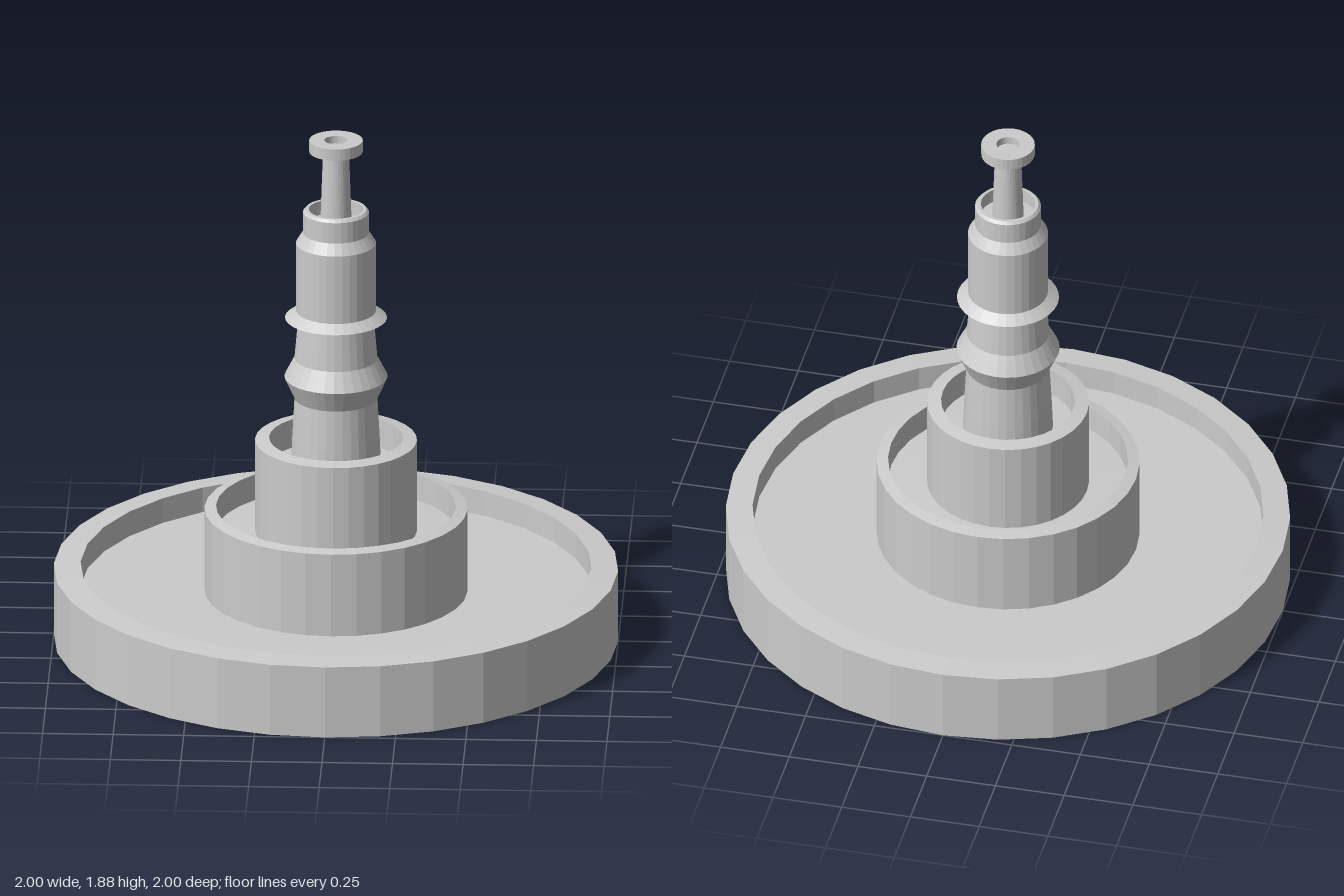
import * as THREE from 'three';

const SIDES = 32;
const material = new THREE.MeshStandardMaterial({ color: 0xcccccc, flatShading: true });

// Revolved part from [radius, height] pairs, listed from the bottom up the outside
function turned(name, profile) {
  const points = profile.map(([r, y]) => new THREE.Vector2(r, y));
  const mesh = new THREE.Mesh(new THREE.LatheGeometry(points, SIDES), material);
  mesh.name = name;
  return mesh;
}

// Round basin with a gently sloped rim and a recessed floor
function basin(name, bottom, top, outer, inner, floor, floorInner) {
  return turned(name, [
    [0, bottom], [outer, bottom], [outer, top - 0.008], [inner, top],
    [inner, floor], [0, floorInner],
  ]);
}

export function createModel() {
  const group = new THREE.Group();
  group.name = 'tieredFountain';

  // Three stacked basins
  group.add(basin('lowerBasin', 0, 0.273, 1, 0.905, 0.18, 0.18));
  group.add(basin('middleBasin', 0.17, 0.497, 0.466, 0.425, 0.4, 0.42));
  group.add(basin('upperBasin', 0.39, 0.757, 0.287, 0.237, 0.65, 0.65));

  // Column with a bulge, a flared collar and a small cup at its top
  group.add(turned('column', [
    [0.16, 0.64], [0.155, 0.76], [0.147, 0.91],
    [0.183, 0.99], [0.147, 1.06],
    [0.135, 1.2], [0.181, 1.212], [0.142, 1.24],
    [0.142, 1.495], [0.117, 1.535], [0.117, 1.612], [0.108, 1.622],
    [0.096, 1.622], [0.096, 1.57], [0, 1.57],
  ]));

  // Spout stem with a dished cap
  group.add(turned('spoutStem', [[0.056, 1.56], [0.046, 1.845]]));
  group.add(turned('spoutCap', [
    [0, 1.84], [0.095, 1.84], [0.095, 1.883], [0.041, 1.883], [0.041, 1.855], [0, 1.855],
  ]));

  return group;
}
